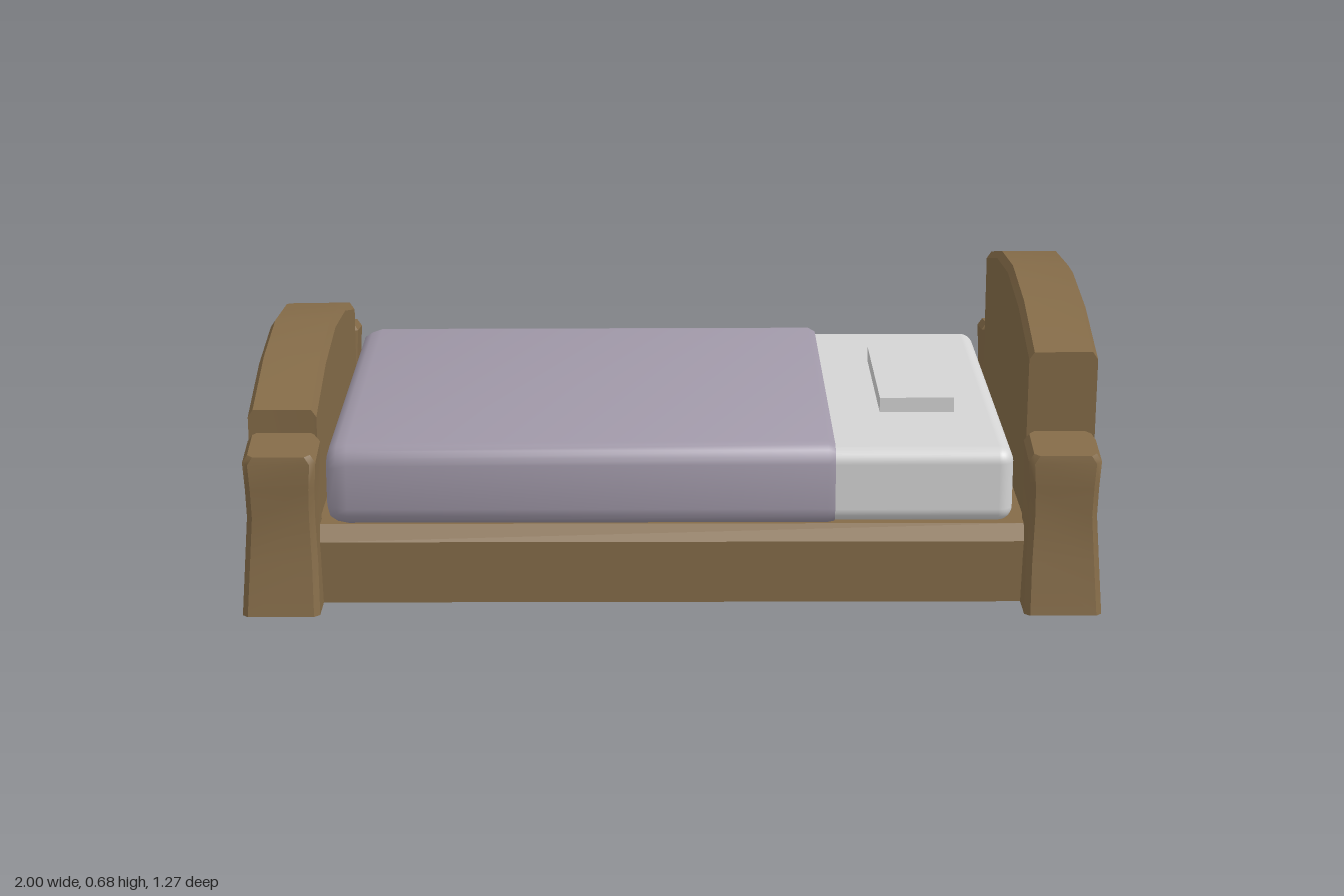
import * as THREE from 'three';
import { toCreasedNormals } from 'three/addons/utils/BufferGeometryUtils.js';
import { RoundedBoxGeometry } from 'three/addons/geometries/RoundedBoxGeometry.js';

// Closed solid through a list of equal-length rings of [x, y, z] points
function loft(rings, crease) {
  const n = rings[0].length, last = rings.length - 1;
  const pts = rings.flat();
  const idx = [];
  for (let r = 0; r < last; r++) {
    for (let i = 0; i < n; i++) {
      const a = r * n + i, b = r * n + (i + 1) % n;
      idx.push(a, b, b + n, a, b + n, a + n);
    }
  }
  for (let i = 1; i < n - 1; i++) {
    idx.push(0, i + 1, i);
    idx.push(last * n, last * n + i, last * n + i + 1);
  }
  // Turn faces outward if the signed volume is negative
  let volume = 0;
  const v = pts.map(p => new THREE.Vector3(...p));
  for (let i = 0; i < idx.length; i += 3) {
    volume += v[idx[i]].dot(v[idx[i + 1]].clone().cross(v[idx[i + 2]]));
  }
  if (volume < 0) idx.reverse();
  const g = new THREE.BufferGeometry();
  g.setAttribute('position', new THREE.Float32BufferAttribute(pts.flat(), 3));
  g.setIndex(idx);
  return toCreasedNormals(g, crease);
}

// Rounded rectangle outline, as [u, v] pairs
function roundedRect(u0, u1, v0, v1, r, steps) {
  const out = [];
  [[u1 - r, v1 - r], [u0 + r, v1 - r], [u0 + r, v0 + r], [u1 - r, v0 + r]].forEach(([u, v], q) => {
    for (let s = 0; s <= steps; s++) {
      const a = (q + s / steps) * Math.PI / 2;
      out.push([u + r * Math.cos(a), v + r * Math.sin(a)]);
    }
  });
  return out;
}

// Arched end board with bevelled top edges
function boardGeometry(side, shoulder, mid, peak) {
  const zs = [-0.475, -0.24, 0, 0.24, 0.475];
  const tops = [shoulder, mid, peak, mid, shoulder];
  return loft(zs.map((z, i) => {
    const t = tops[i];
    return [[0.83, 0], [0.83, t - 0.018], [0.842, t], [0.978, t], [0.99, t - 0.018], [0.99, 0]]
      .map(([x, y]) => [side * x, y, y === 0 ? z * 0.97 : z]);
  }), 0.35);
}

// Corner post: flared foot, narrow waist and a sloping top
function postGeometry(sx, sz) {
  const levels = [ // y, inner x, outer x, inner z, outer z
    [0, 0.82, 1.0, 0.455, 0.635],
    [0.12, 0.823, 0.993, 0.457, 0.612],
    [0.23, 0.828, 0.986, 0.46, 0.598],
    [0.3, 0.827, 0.988, 0.462, 0.6],
    [0.37, 0.823, 0.992, 0.465, 0.6],
    [0.388, 0.835, 0.98, 0.47, 0.597],
  ];
  return loft(levels.map(([y, x0, x1, z0, z1], i) =>
    roundedRect(x0, x1, z0, z1, 0.013, 1).map(([x, z]) => {
      const slope = i >= 4 ? (0.535 - z) * 0.16 : 0;
      return [sx * x, y + slope, sz * z];
    })), 0.6);
}

export function createModel() {
  const group = new THREE.Group();
  const mat = (name, color) => {
    const m = new THREE.MeshStandardMaterial({ color });
    m.name = name;
    return m;
  };
  const wood = mat('wood', 0x846b48);
  const linen = mat('linen', 0xd4d4d4);
  const cloth = mat('blanket cloth', 0xa098a8);
  const add = (name, geometry, material, x = 0, y = 0, z = 0) => {
    const mesh = new THREE.Mesh(geometry, material);
    mesh.name = name;
    mesh.position.set(x, y, z);
    group.add(mesh);
  };

  // Frame base with bevelled upper edges
  const profile = [[0, 0.54], [0.15, 0.54], [0.185, 0.51], [0.185, -0.51], [0.15, -0.54], [0, -0.54]];
  add('frameBase', loft([-0.84, 0.84].map(x => profile.map(([y, z]) => [x, y, z])), 0.3), wood);

  // End boards
  add('headboard', boardGeometry(1, 0.592, 0.653, 0.677), wood);
  add('footboard', boardGeometry(-1, 0.455, 0.516, 0.54), wood);

  // Corner posts
  for (const sx of [-1, 1]) {
    for (const sz of [-1, 1]) add('cornerPost', postGeometry(sx, sz), wood);
  }

  // Mattress and flat pillow
  add('mattress', new RoundedBoxGeometry(1.55, 0.18, 1.03, 4, 0.035), linen, 0.025, 0.275, 0);
  add('pillow', new THREE.BoxGeometry(0.18, 0.045, 0.445), linen, 0.595, 0.3785, -0.0125);

  // Blanket, rounded at the foot and cut square near the pillow
  const stations = [ // x, half width, bottom, top, corner radius
    [-0.81, 0.49, 0.21, 0.34, 0.03],
    [-0.803, 0.512, 0.194, 0.362, 0.04],
    [-0.785, 0.524, 0.185, 0.372, 0.045],
    [-0.76, 0.53, 0.182, 0.379, 0.045],
    [0.365, 0.53, 0.182, 0.381, 0.045],
    [0.382, 0.522, 0.184, 0.372, 0.04],
  ];
  add('blanket', loft(stations.map(([x, w, y0, y1, r]) =>
    roundedRect(-w, w, y0, y1, r, 4).map(([z, y]) => [x, y, z])), 0.9), cloth);

  return group;
}
